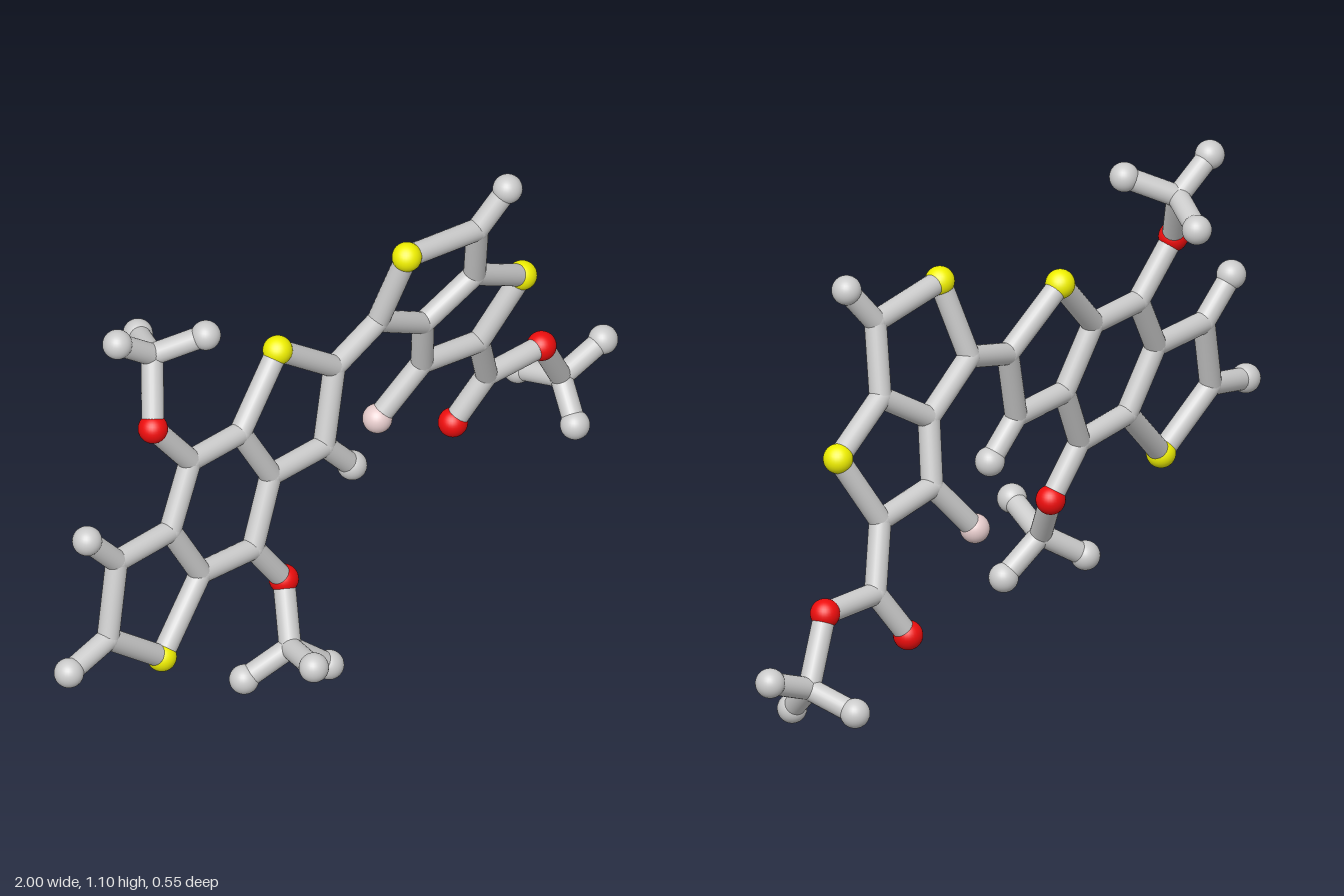
import * as THREE from 'three';

const BOND_RADIUS = 0.027;
const END_RADIUS = 0.036;

// Each half of the model lies on its own gently tilted plane
const leftPlane = (x, y) => [x, y, 0.091 + 0.0777 * x - 0.126 * y];
const rightPlane = (x, y) => [x, y, -0.236 + 0.149 * x + 0.274 * y];

// Ball positions, grouped by kind
const joints = {
  // three-ring side
  a1: leftPlane(-0.04, 0.735), a2: leftPlane(-0.1, 0.545),
  a3: leftPlane(-0.275, 0.548), a4: leftPlane(-0.356, 0.703),
  a5: leftPlane(-0.52, 0.705), a6: leftPlane(-0.607, 0.553),
  a7: leftPlane(-0.527, 0.398), a8: leftPlane(-0.356, 0.384),
  a9: leftPlane(-0.783, 0.553), a10: leftPlane(-0.837, 0.365),
  // two-ring side
  b1: rightPlane(0.115, 0.784), b2: rightPlane(0.28, 0.687),
  b3: rightPlane(0.414, 0.778), b4: rightPlane(0.377, 0.95),
  b5: rightPlane(0.318, 0.532), b6: rightPlane(0.5, 0.505),
  b7: [0.57, 0.35, -0.06],
  // branching ends
  m1: [-0.553, 0.99, -0.13], m2: [-0.33, 0.125, 0.11], m3: [0.837, 0.2, -0.06],
};
const tips = {
  t1: leftPlane(-0.868, 0.65), t2: leftPlane(-0.97, 0.334),
  t3: leftPlane(-0.019, 0.452), t4: [0.446, 1.048, 0.115],
  t5: [-0.655, 1.066, -0.15], t6: [-0.468, 1.046, -0.035], t7: [-0.479, 0.959, -0.24],
  t8: [-0.393, 0.162, 0.24], t9: [-0.425, 0.053, 0.048], t10: [-0.233, 0.039, 0.148],
  t11: [0.96, 0.253, -0.035], t12: [0.8, 0.115, 0.017], t13: [0.828, 0.167, -0.188],
};
const yellows = {
  y1: leftPlane(-0.211, 0.862), y2: leftPlane(-0.676, 0.238),
  y3: rightPlane(0.152, 0.98), y4: rightPlane(0.586, 0.681),
};
const reds = {
  r1: [-0.623, 0.842, -0.066], r2: [-0.27, 0.258, 0.037],
  r3: [0.5, 0.228, -0.105], r4: [0.74, 0.354, -0.036],
};
const pinks = { p1: [0.217, 0.399, -0.095] };

// Chains of connected balls; each neighbouring pair gets a rod
const chains = {
  outerRingRod: ['a4 y1 a1 a2 a3', 'a6 a9 a10 y2 a7'],
  middleRingRod: ['a3 a4 a5 a6 a7 a8 a3'],
  linkRod: ['a1 b1'],
  upperRightRingRod: ['b1 y3 b4 b3 b2 b1'],
  lowerRightRingRod: ['b2 b5 b6 y4 b3'],
  sideRod: ['a9 t1', 'a10 t2', 'a2 t3', 'b4 t4', 'b5 p1'],
  branchRod: ['a5 r1 m1', 'a8 r2 m2', 'b6 b7 r4 m3', 'b7 r3'],
  tripodRod: ['m1 t5', 'm1 t6', 'm1 t7', 'm2 t8', 'm2 t9', 'm2 t10', 'm3 t11', 'm3 t12', 'm3 t13'],
};

export function createModel() {
  const model = new THREE.Group();
  const material = (color) => new THREE.MeshStandardMaterial({ color });
  const grey = material(0xcccccc);
  const position = {};

  // Balls
  const addBalls = (name, set, radius, mat) => {
    const geometry = new THREE.SphereGeometry(radius, 28, 18);
    for (const [key, p] of Object.entries(set)) {
      const ball = new THREE.Mesh(geometry, mat);
      ball.name = name;
      ball.position.set(...p);
      position[key] = ball.position;
      model.add(ball);
    }
  };
  addBalls('jointBall', joints, BOND_RADIUS + 0.0005, grey);
  addBalls('tipBall', tips, END_RADIUS, grey);
  addBalls('yellowBall', yellows, END_RADIUS, material(0xf0f000));
  addBalls('redBall', reds, END_RADIUS, material(0xee0d0d));
  addBalls('pinkBall', pinks, END_RADIUS, material(0xe6cccc));

  // Rods
  const up = new THREE.Vector3(0, 1, 0);
  const addRod = (name, from, to) => {
    const along = to.clone().sub(from);
    const rod = new THREE.Mesh(
      new THREE.CylinderGeometry(BOND_RADIUS, BOND_RADIUS, along.length(), 24, 1, true), grey);
    rod.name = name;
    rod.position.copy(from).addScaledVector(along, 0.5);
    rod.quaternion.setFromUnitVectors(up, along.normalize());
    model.add(rod);
  };
  for (const [name, list] of Object.entries(chains)) {
    for (const chain of list) {
      const keys = chain.split(' ');
      for (let i = 1; i < keys.length; i++) addRod(name, position[keys[i - 1]], position[keys[i]]);
    }
  }
  return model;
}
